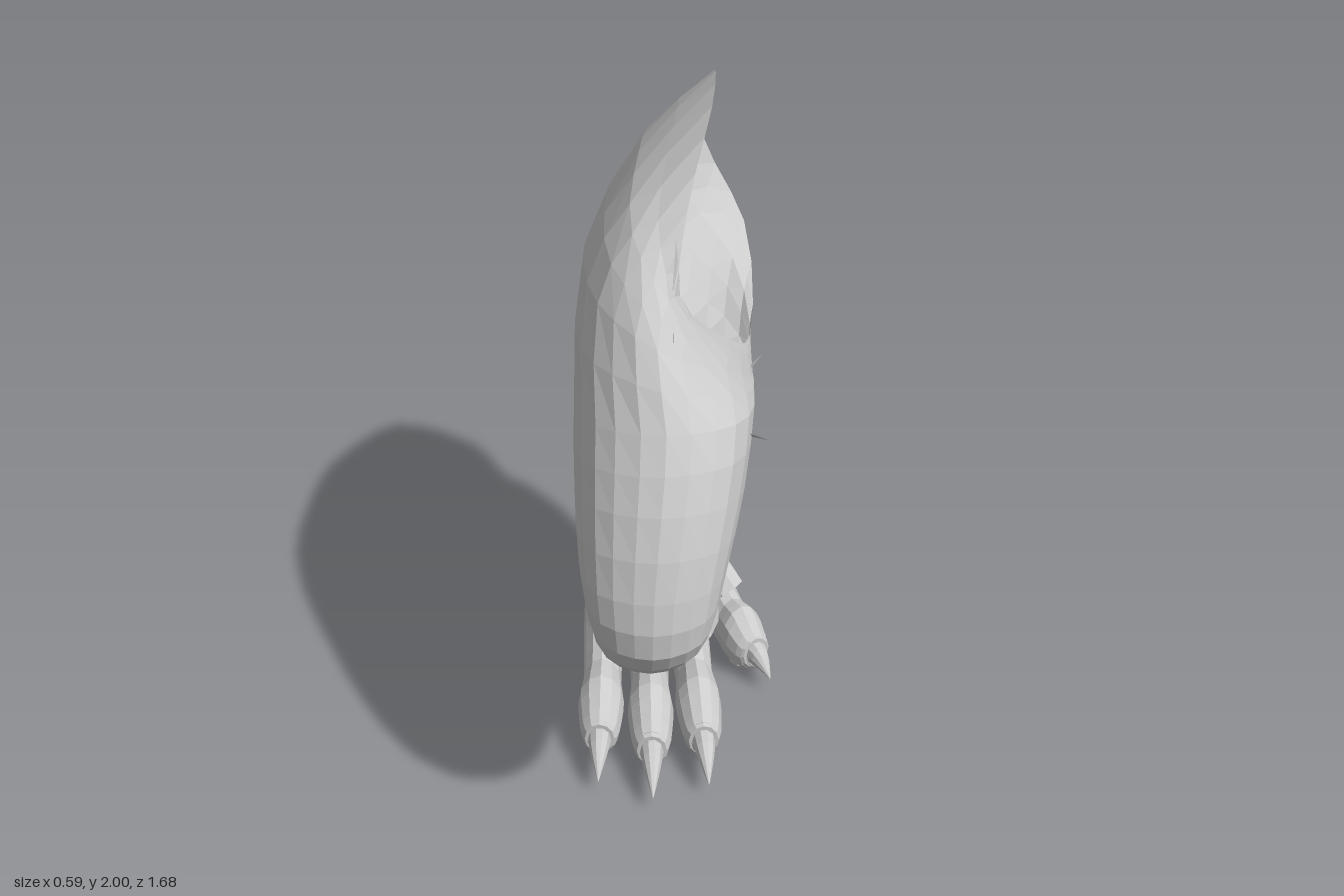
import * as THREE from 'three';

const skin = new THREE.MeshStandardMaterial({ color: 0xcccccc, flatShading: true });
const openSkin = new THREE.MeshStandardMaterial({ color: 0xcccccc, flatShading: true, side: THREE.DoubleSide });
const V = (x, y, z) => new THREE.Vector3(x, y, z);

// Lofts a smooth surface through closed rings; every ring has the same number of control points.
function loft(name, rings, { n = 20, sub = 2, capStart = true, material = skin } = {}) {
  const loops = rings.map(r => {
    const c = new THREE.CatmullRomCurve3(r, true);
    return Array.from({ length: n }, (_, i) => c.getPoint(i / n));
  });
  const rows = (loops.length - 1) * sub + 1;
  const cols = Array.from({ length: n }, (_, i) => new THREE.CatmullRomCurve3(loops.map(l => l[i])));
  const pts = [];
  for (let r = 0; r < rows; r++) for (let i = 0; i < n; i++) pts.push(cols[i].getPoint(r / (rows - 1)));
  const idx = [];
  for (let r = 0; r < rows - 1; r++) for (let i = 0; i < n; i++) {
    const j = (i + 1) % n, a = r * n + i, b = r * n + j;
    idx.push(a, b, a + n, b, b + n, a + n);
  }
  const cap = (start, flip) => {
    const mid = V(0, 0, 0);
    for (let i = 0; i < n; i++) mid.addScaledVector(pts[start + i], 1 / n);
    const m = pts.push(mid) - 1;
    for (let i = 0; i < n; i++) {
      const a = start + i, b = start + (i + 1) % n;
      flip ? idx.push(m, b, a) : idx.push(m, a, b);
    }
  };
  if (capStart) cap(0, true);
  cap((rows - 1) * n, false);
  // Turn the faces outward
  let volume = 0;
  const cr = V(0, 0, 0), o = rings[rings.length >> 1][0].clone().lerp(rings[rings.length >> 1][4], 0.5);
  const rel = k => pts[k].clone().sub(o);
  for (let k = 0; k < idx.length; k += 3) volume += rel(idx[k]).dot(cr.crossVectors(rel(idx[k + 1]), rel(idx[k + 2])));
  if (volume < 0) idx.reverse();
  const g = new THREE.BufferGeometry().setFromPoints(pts);
  g.setIndex(idx);
  g.computeVertexNormals();
  const mesh = new THREE.Mesh(g, material);
  mesh.name = name;
  return mesh;
}

// Oval ring between two profile points given as (z, y), spanning x0..x1
function section([z0, y0, z1, y1, x0, x1]) {
  return Array.from({ length: 8 }, (_, k) => {
    const a = k * Math.PI / 4, f = k % 2 ? 1.05 : 1;
    const c = Math.cos(a) * f, s = Math.sin(a) * f;
    return V((x0 + x1) / 2 - s * (x1 - x0) / 2, (y0 + y1) / 2 + c * (y0 - y1) / 2, (z0 + z1) / 2 + c * (z0 - z1) / 2);
  });
}

// Tube along z from [z, y, rx, ry] rows
const alongZ = (name, rows, n) => loft(name, rows.map(([z, y, rx, ry]) =>
  Array.from({ length: 8 }, (_, k) => V(Math.cos(k * Math.PI / 4) * rx, y + Math.sin(k * Math.PI / 4) * ry, z))), { n });

const ringOf = rows => rows.map(p => V(...p));

function makeToe(name, x, y, z, yaw, length) {
  const toe = new THREE.Group();
  toe.name = name;
  // Toe with its long bone running back under the foot
  toe.add(alongZ('toeBody', [
    [-0.46, 0.1, 0.03, 0.05], [-0.4, 0.12, 0.055, 0.09], [-0.28, 0.16, 0.066, 0.13], [-0.15, 0.165, 0.064, 0.135],
    [-0.02, 0.14, 0.06, 0.11], [0.1, 0.115, 0.057, 0.098], [0.2, 0.115, 0.068, 0.105], [0.28, 0.1, 0.063, 0.085],
    [0.35, 0.092, 0.05, 0.06], [0.37, 0.09, 0.03, 0.04]
  ], 12));
  // Fleshy pad under the tip and cuticle around the claw
  const pad = new THREE.Mesh(new THREE.SphereGeometry(1, 10, 7), skin);
  pad.name = 'toePad';
  pad.scale.set(0.055, 0.04, 0.09);
  pad.position.set(0, 0.048, 0.25);
  const cuticle = new THREE.Mesh(new THREE.TorusGeometry(0.038, 0.012, 6, 12), skin);
  cuticle.name = 'cuticle';
  cuticle.position.set(0, 0.1, 0.355);
  cuticle.scale.y = 1.25;
  toe.add(pad, cuticle, alongZ('claw', [
    [0.33, 0.1, 0.036, 0.046], [0.41, 0.098, 0.029, 0.036], [0.47, 0.082, 0.016, 0.02], [0.52, 0.058, 0.002, 0.003]
  ], 10));
  toe.position.set(x, y, z);
  toe.rotation.y = yaw;
  toe.scale.z = length;
  return toe;
}

export function createModel() {
  const leg = new THREE.Group();
  leg.name = 'clawedLeg';

  // Thigh with its slanting open end, bent knee and shin as one skin
  const rim = ringOf([[0, 1.63, 0.35], [0.02, 1.83, 0.27], [0.09, 2, 0.02], [0.11, 1.94, -0.34],
    [0.09, 1.6, -0.62], [0.21, 1.36, -0.55], [0.205, 1.27, -0.05], [0.13, 1.41, 0.2]]);
  const underRim = ringOf([[-0.03, 1.65, 0.41], [-0.12, 1.77, 0.28], [-0.1, 1.84, -0.05], [-0.06, 1.75, -0.36],
    [0.03, 1.48, -0.5], [0.17, 1.32, -0.4], [0.205, 1.255, 0], [0.13, 1.42, 0.26]]);
  const upperThigh = ringOf([[-0.06, 1.57, 0.52], [-0.21, 1.61, 0.35], [-0.25, 1.58, 0], [-0.2, 1.47, -0.27],
    [-0.02, 1.3, -0.32], [0.14, 1.23, -0.22], [0.205, 1.24, 0.1], [0.12, 1.43, 0.4]]);
  leg.add(loft('thighAndShin', [rim, underRim, upperThigh, ...[
    [0.65, 1.4, -0.1, 1.16, -0.28, 0.2], [0.75, 1.22, 0.14, 1.04, -0.28, 0.17], [0.82, 1, 0.36, 0.94, -0.27, 0.12],
    [0.83, 0.83, 0.42, 0.89, -0.25, 0.09], [0.74, 0.71, 0.42, 0.88, -0.24, 0.07], [0.55, 0.61, 0.36, 0.91, -0.235, 0.055],
    [0.3, 0.53, 0.2, 0.94, -0.23, 0.045], [0, 0.48, 0, 0.91, -0.22, 0.035], [-0.2, 0.47, -0.2, 0.84, -0.21, 0.025],
    [-0.42, 0.5, -0.4, 0.8, -0.19, 0.01]
  ].map(section)], { n: 24, capStart: false, material: openSkin }));

  // Hock, ankle and instep, closing above the pads
  leg.add(loft('hockAndInstep', [
    [-0.55, 0.86, -0.69, 0.84, -0.14, -0.04], [-0.48, 0.84, -0.73, 0.8, -0.17, -0.01], [-0.33, 0.79, -0.73, 0.7, -0.21, 0.01],
    [-0.23, 0.6, -0.7, 0.58, -0.24, 0.03], [-0.2, 0.46, -0.62, 0.46, -0.25, 0.04], [-0.17, 0.37, -0.555, 0.34, -0.26, 0.08],
    [-0.07, 0.29, -0.54, 0.21, -0.27, 0.13], [0.03, 0.18, -0.52, 0.12, -0.27, 0.14], [-0.05, 0.08, -0.46, 0.06, -0.22, 0.1]
  ].map(section)));

  // Heel pads
  for (const x of [-0.19, -0.075, 0.04]) {
    const pad = new THREE.Mesh(new THREE.SphereGeometry(1, 10, 8), skin);
    pad.name = 'heelPad';
    pad.scale.set(0.072, 0.11, 0.13);
    pad.position.set(x, 0.13, -0.4);
    leg.add(pad);
  }

  // Tendons fanning from the ankle to the toes
  for (const [x0, x1, z0, z1, r] of [[-0.17, -0.215, -0.26, -0.1, 0.025], [-0.1, -0.088, -0.22, -0.06, 0.025],
    [-0.03, 0.035, -0.25, -0.08, 0.025], [-0.02, 0.16, -0.32, -0.22, 0.06]]) {
    const path = new THREE.CatmullRomCurve3([V(x0, 0.47, z0), V((x0 + x1) / 2, 0.35, (z0 + z1) / 2 - 0.02), V(x1, 0.23, z1)]);
    const tendon = new THREE.Mesh(new THREE.TubeGeometry(path, 5, r, 8), openSkin);
    tendon.name = 'tendon';
    leg.add(tendon);
  }

  // Three front toes and the splayed inner toe
  leg.add(makeToe('outerToe', -0.225, 0, -0.01, -0.03, 0.88));
  leg.add(makeToe('middleToe', -0.085, 0, 0, 0.01, 1));
  leg.add(makeToe('innerToe', 0.045, 0, -0.01, 0.08, 0.92));
  leg.add(makeToe('splayedToe', 0.15, 0, -0.25, 0.5, 0.55));

  // Spur at the hock with its collar
  const spur = new THREE.Group();
  spur.name = 'spur';
  spur.add(alongZ('spurHorn', [[-0.04, 0, 0.05, 0.055], [0.07, 0.006, 0.042, 0.048], [0.18, 0.006, 0.024, 0.026], [0.285, 0, 0.002, 0.002]], 10));
  const collar = new THREE.Mesh(new THREE.TorusGeometry(0.055, 0.02, 6, 14), skin);
  collar.name = 'spurCollar';
  spur.add(collar);
  spur.position.set(-0.09, 0.8, -0.635);
  spur.rotation.x = -2.38;
  leg.add(spur);

  // Small torn skin flaps near the opening
  const flaps = [
    [[0.17, 1.29, 0.47], [0.23, 1.25, 0.45], [0.17, 1.24, 0.41]],
    [[-0.02, 1.6, 0.43], [-0.02, 1.6, 0.51], [-0.02, 1.54, 0.48]],
    [[-0.02, 1.66, 0.38], [-0.01, 1.79, 0.34], [0, 1.66, 0.33]],
    [[0.2, 1.28, 0.12], [0.235, 1.26, 0.04], [0.2, 1.25, 0.1]]
  ];
  for (const f of flaps) {
    const g = new THREE.BufferGeometry().setFromPoints(ringOf(f));
    g.computeVertexNormals();
    const flap = new THREE.Mesh(g, openSkin);
    flap.name = 'tornFlap';
    leg.add(flap);
  }
  return leg;
}
